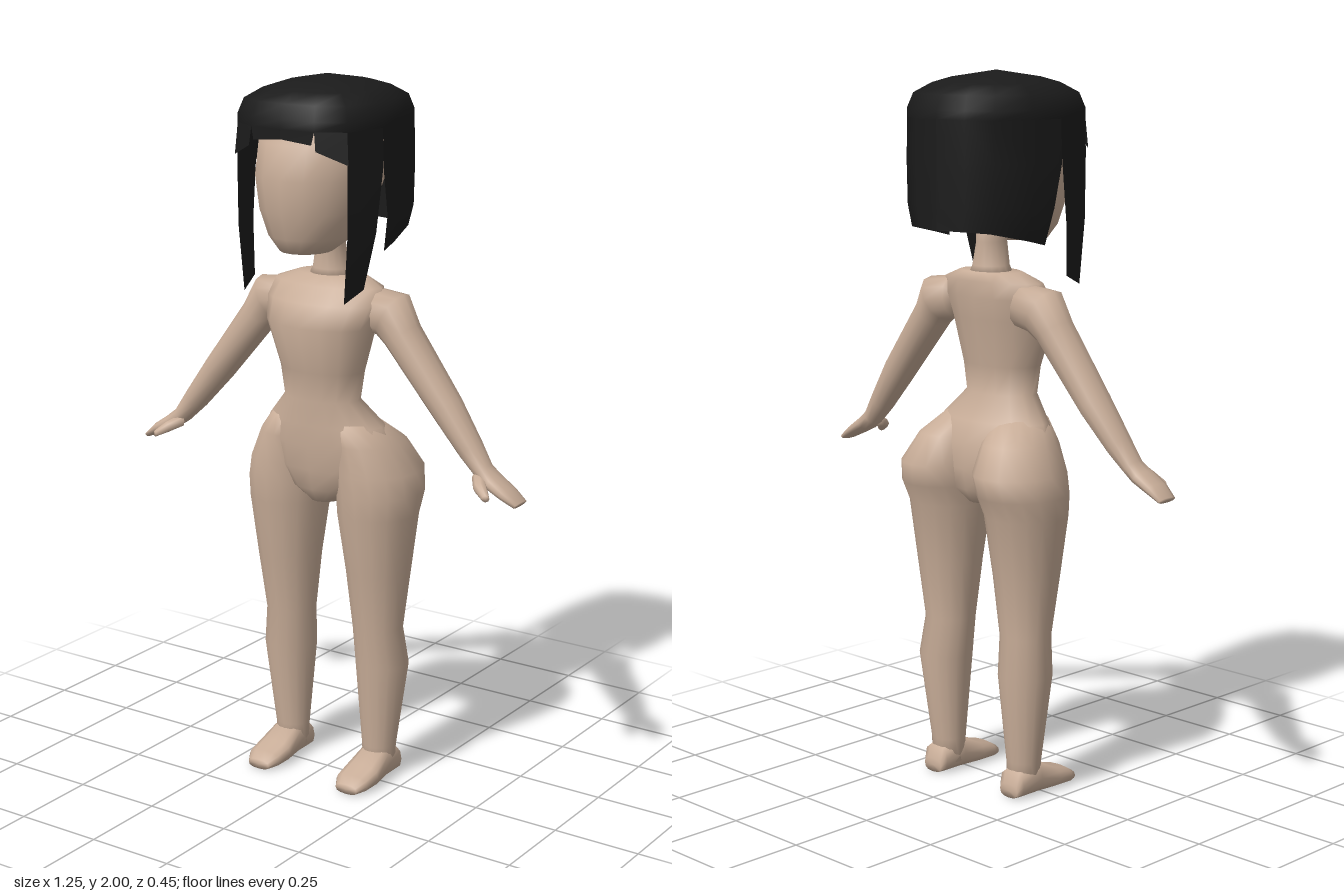
import * as THREE from 'three';
import { mergeVertices } from 'three/addons/utils/BufferGeometryUtils.js';

const skin = new THREE.MeshStandardMaterial({ color: 0xc8ad98 });
const hair = new THREE.MeshStandardMaterial({ color: 0x1b1b1b, side: THREE.DoubleSide });
const V = (x, y, z) => new THREE.Vector3(x, y, z);

// Closed ring of points round c, spanned by half-axes u and v; p < 1 squares it off
function ring(c, u, v, n = 14, p = 1) {
  const f = (t) => Math.sign(t) * Math.abs(t) ** p;
  return Array.from({ length: n }, (_, i) => {
    const a = (i / n) * Math.PI * 2;
    return c.clone().addScaledVector(u, f(Math.cos(a))).addScaledVector(v, f(Math.sin(a)));
  });
}

// Level ring from centre x, height, front z, back z and half width
const level = (x, y, zf, zb, rx) => ring(V(x, y, (zf + zb) / 2), V(rx, 0, 0), V(0, 0, (zf - zb) / 2), 16);

// Smooth capped skin over a row of rings, always wound outward
function loft(rings) {
  const n = rings[0].length, pts = rings.flat(), idx = [];
  for (let r = 0; r < rings.length - 1; r++) {
    for (let i = 0; i < n; i++) {
      const a = r * n + i, b = r * n + ((i + 1) % n);
      idx.push(a, b, a + n, b, b + n, a + n);
    }
  }
  [0, rings.length - 1].forEach((r, end) => {
    const mid = pts.length;
    pts.push(rings[r].reduce((s, q) => s.add(q), V(0, 0, 0)).divideScalar(n));
    for (let i = 0; i < n; i++) {
      const a = r * n + i, b = r * n + ((i + 1) % n);
      idx.push(mid, ...(end ? [a, b] : [b, a]));
    }
  });
  let volume = 0;
  for (let i = 0; i < idx.length; i += 3) {
    volume += pts[idx[i]].dot(pts[idx[i + 1]].clone().cross(pts[idx[i + 2]]));
  }
  if (volume < 0) idx.reverse();
  const g = new THREE.BufferGeometry().setFromPoints(pts);
  g.setIndex(idx);
  g.computeVertexNormals();
  return g;
}

// Open sheet over rows of points, flipped for the mirrored side
function sheet(rows, flip = false) {
  const n = rows[0].length, idx = [];
  for (let r = 0; r < rows.length - 1; r++) {
    for (let i = 0; i < n - 1; i++) {
      const a = r * n + i, b = a + n;
      idx.push(a, b, a + 1, a + 1, b, b + 1);
    }
  }
  if (flip) idx.reverse();
  let g = new THREE.BufferGeometry().setFromPoints(rows.flat());
  g.setIndex(idx);
  g = mergeVertices(g, 1e-4);
  g.computeVertexNormals();
  return g;
}

export function createModel() {
  const model = new THREE.Group();
  const add = (name, geometry, material = skin) => {
    const m = new THREE.Mesh(geometry, material);
    m.name = name;
    model.add(m);
  };

  // Torso: height, front z, back z, half width
  add('torso', loft([
    [0.82, 0.05, -0.09, 0.05], [0.86, 0.075, -0.12, 0.13], [0.92, 0.09, -0.13, 0.2],
    [0.99, 0.097, -0.125, 0.212], [1.05, 0.1, -0.1, 0.18], [1.12, 0.1, -0.055, 0.115],
    [1.2, 0.105, -0.06, 0.128], [1.33, 0.14, -0.082, 0.165], [1.39, 0.105, -0.09, 0.18],
    [1.435, 0.07, -0.09, 0.17], [1.46, 0.045, -0.085, 0.1],
  ].map(([y, f, b, w]) => level(0, y, f, b, w))));

  add('neck', loft([
    [1.44, 0.04, -0.08, 0.07], [1.475, 0.03, -0.07, 0.052],
    [1.54, 0.03, -0.065, 0.037], [1.62, 0.03, -0.065, 0.037],
  ].map(([y, f, b, w]) => level(0, y, f, b, w))));

  add('head', loft([
    [1.54, 0.175, 0.02, 0.07], [1.58, 0.195, -0.05, 0.115], [1.65, 0.214, -0.12, 0.15],
    [1.74, 0.222, -0.17, 0.17], [1.83, 0.203, -0.18, 0.17], [1.92, 0.13, -0.12, 0.12],
  ].map(([y, f, b, w]) => level(0, y, f, b, w))));

  for (const s of [1, -1]) {
    const side = s > 0 ? 'left' : 'right';

    // Leg: centre x, height, front z, back z, half width
    add(side + 'Leg', loft([
      [0.09, 1.06, 0.08, -0.07, 0.075], [0.122, 1.0, 0.085, -0.145, 0.097],
      [0.14, 0.92, 0.09, -0.192, 0.12], [0.148, 0.86, 0.088, -0.18, 0.121],
      [0.148, 0.8, 0.084, -0.15, 0.115], [0.15, 0.63, 0.06, -0.127, 0.092],
      [0.148, 0.46, 0.035, -0.105, 0.073], [0.157, 0.35, 0.03, -0.12, 0.077],
      [0.15, 0.1, 0.005, -0.09, 0.05], [0.15, 0.03, 0.005, -0.09, 0.045],
    ].map(([x, ...r]) => level(x * s, ...r))));

    // Foot, heel to toe: z, height, half width
    add(side + 'Foot', loft([
      [-0.105, 0.04, 0.033], [-0.09, 0.075, 0.045], [-0.02, 0.095, 0.05],
      [0.05, 0.06, 0.056], [0.1, 0.046, 0.052], [0.13, 0.028, 0.035],
    ].map(([z, h, w]) => ring(V(0.152 * s, h / 2 + 0.004, z), V(w, 0, 0), V(0, h / 2, 0), 12, 0.75))));

    // Arm and flat hand: centre x, y, z, half thickness, half depth, tilt
    add(side + 'Arm', loft([
      [0.13, 1.375, -0.02, 0.06, 0.06, 1.4], [0.2, 1.365, -0.02, 0.068, 0.065, 1.05],
      [0.235, 1.315, -0.015, 0.052, 0.055, 0.6], [0.38, 1.135, -0.012, 0.043, 0.048, 0.7],
      [0.46, 1.035, -0.005, 0.034, 0.038, 0.75], [0.505, 0.982, 0, 0.025, 0.032, 0.85],
      [0.535, 0.96, 0.004, 0.022, 0.04, 0.95], [0.58, 0.935, 0.006, 0.017, 0.04, 1],
      [0.618, 0.91, 0.004, 0.009, 0.033, 1],
    ].map(([x, y, z, t, d, a]) =>
      ring(V(x * s, y, z), V(Math.cos(a) * t * s, Math.sin(a) * t, 0), V(0, 0, d), 12, 0.9))));

    add(side + 'Thumb', loft([
      [0.5, 0.968, 0.015, 0.018], [0.525, 0.952, 0.055, 0.016], [0.553, 0.932, 0.074, 0.009],
    ].map(([x, y, z, r]) => ring(V(x * s, y, z), V(r * s, 0, -r * 0.6), V(0, r, 0), 8))));
  }

  // Hair outline seen from above, front to back along one side
  const half = [[0, 0.217], [0.1, 0.207], [0.175, 0.165], [0.203, 0.04],
    [0.196, -0.06], [0.165, -0.175], [0.09, -0.21], [0, -0.225]];
  const plan = [...half, ...half.slice(0, -1).reverse().map(([x, z]) => [-x, z])];
  add('hairCap', sheet([[0, 2], [0.5, 1.982], [0.72, 1.967], [0.93, 1.94], [1, 1.9], [1, 1.875]]
    .map(([k, y]) => plan.map(([x, z]) => V(x * k, y, z * k)))), hair);

  // Hanging hair panels, each as rows of [x, y, z] from the cap down
  const back = half.slice(3);
  const panels = {
    CentreFringe: [
      [[0, 1.875, 0.217], [0.1, 1.875, 0.207]],
      [[0, 1.85, 0.217], [0.092, 1.84, 0.209]],
    ],
    SideFringe: [
      [[0.1, 1.875, 0.207], [0.175, 1.875, 0.165]],
      [[0.106, 1.825, 0.21], [0.182, 1.79, 0.17]],
    ],
    FrontLock: [
      [[0.175, 1.875, 0.165], [0.203, 1.875, 0.04]],
      [[0.177, 1.78, 0.166], [0.206, 1.78, 0.04]],
      [[0.176, 1.6, 0.165], [0.2, 1.6, 0.065]],
      [[0.162, 1.42, 0.16], [0.178, 1.45, 0.09]],
    ],
    BackHair: [
      back.map(([x, z]) => [x, 1.875, z]),
      back.map(([x, z]) => [x * 1.02, 1.76, z]),
      back.map(([x, z], i) => [x, 1.64, i ? z : 0.015]),
      back.map(([x, z], i) => [x * 0.9, [1.54, 1.555, 1.58, 1.583, 1.583][i], i ? z : 0]),
    ],
  };
  for (const s of [1, -1]) {
    for (const [name, rows] of Object.entries(panels)) {
      add((s > 0 ? 'left' : 'right') + name,
        sheet(rows.map((r) => r.map(([x, y, z]) => V(x * s, y, z))), s < 0), hair);
    }
  }
  return model;
}
